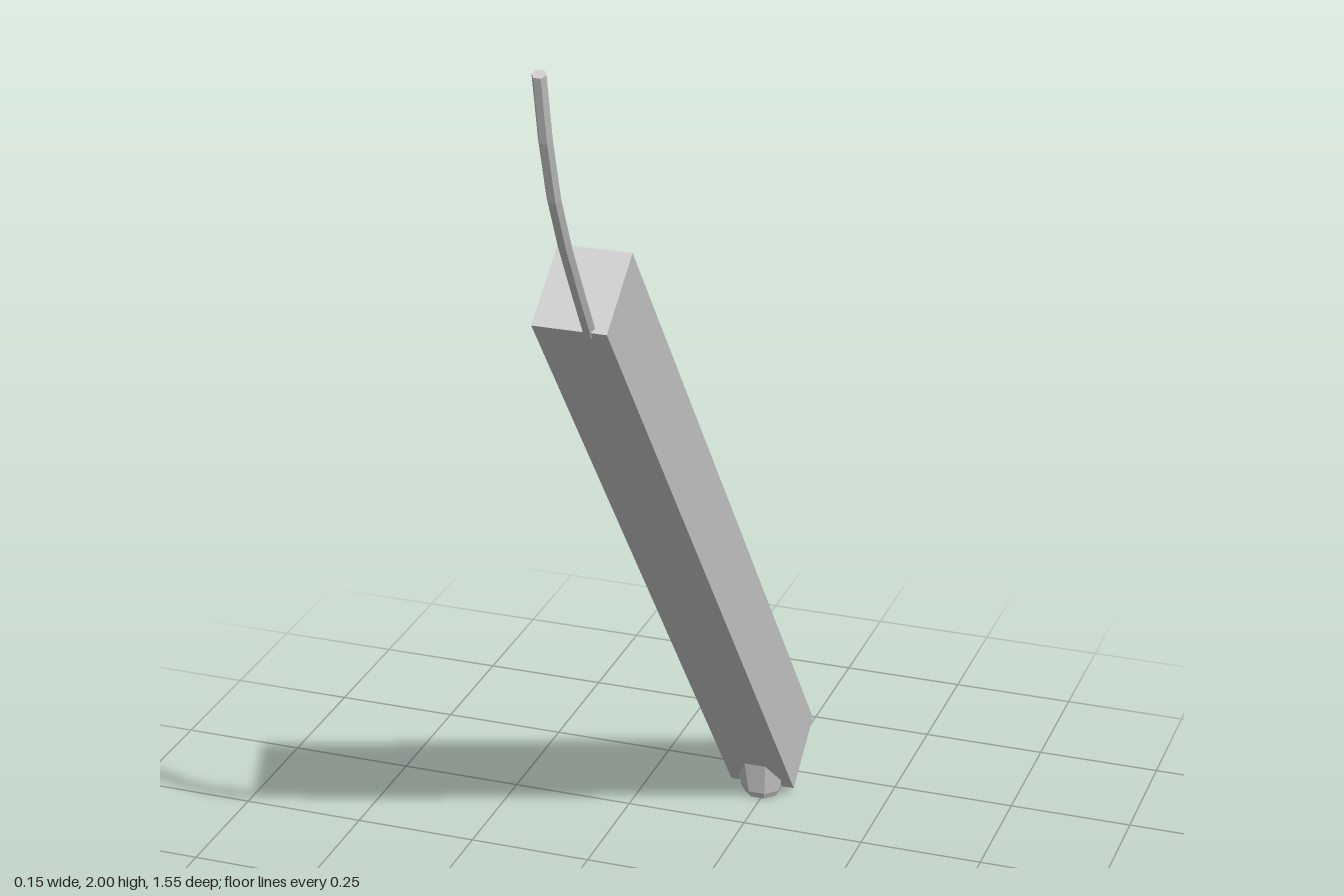
import * as THREE from 'three';

export function createModel() {
  const model = new THREE.Group();
  const material = new THREE.MeshStandardMaterial({ color: 0xcccccc, flatShading: true });
  const add = (name, geometry) => {
    const mesh = new THREE.Mesh(geometry, material);
    mesh.name = name;
    model.add(mesh);
    return mesh;
  };

  // Long square stick leaning forward
  const stick = add('stick', new THREE.BoxGeometry(0.136, 1.813, 0.165));
  stick.position.set(-0.007, 0.783, -0.153);
  stick.rotation.x = 0.662;

  // Small flared foot under the lower edge, with a bevelled sole
  const profile = [[0, 0], [0.036, 0], [0.044, 0.015], [0.061, 0.1], [0, 0.1]];
  const foot = add('foot', new THREE.LatheGeometry(
    profile.map(([r, y]) => new THREE.Vector2(r, y)), 8));
  foot.position.set(-0.007, 0, -0.645);
  foot.rotation.y = Math.PI / 8;

  // Thin curved wick growing out of the upper end
  const path = new THREE.CatmullRomCurve3([
    [0.024, 1.44, 0.452], [0.034, 1.58, 0.555], [0.043, 1.71, 0.645],
    [0.051, 1.83, 0.708], [0.06, 1.996, 0.767],
  ].map((p) => new THREE.Vector3(...p)));
  const radius = 0.0125;
  add('wick', new THREE.TubeGeometry(path, 5, radius, 6));

  // Closed ends of the wick
  for (const [name, t, sign] of [['wickBase', 0, -1], ['wickTip', 1, 1]]) {
    const cap = add(name, new THREE.CircleGeometry(radius, 6));
    const end = path.getPointAt(t);
    cap.position.copy(end);
    cap.lookAt(end.clone().addScaledVector(path.getTangentAt(t), sign));
  }
  return model;
}
